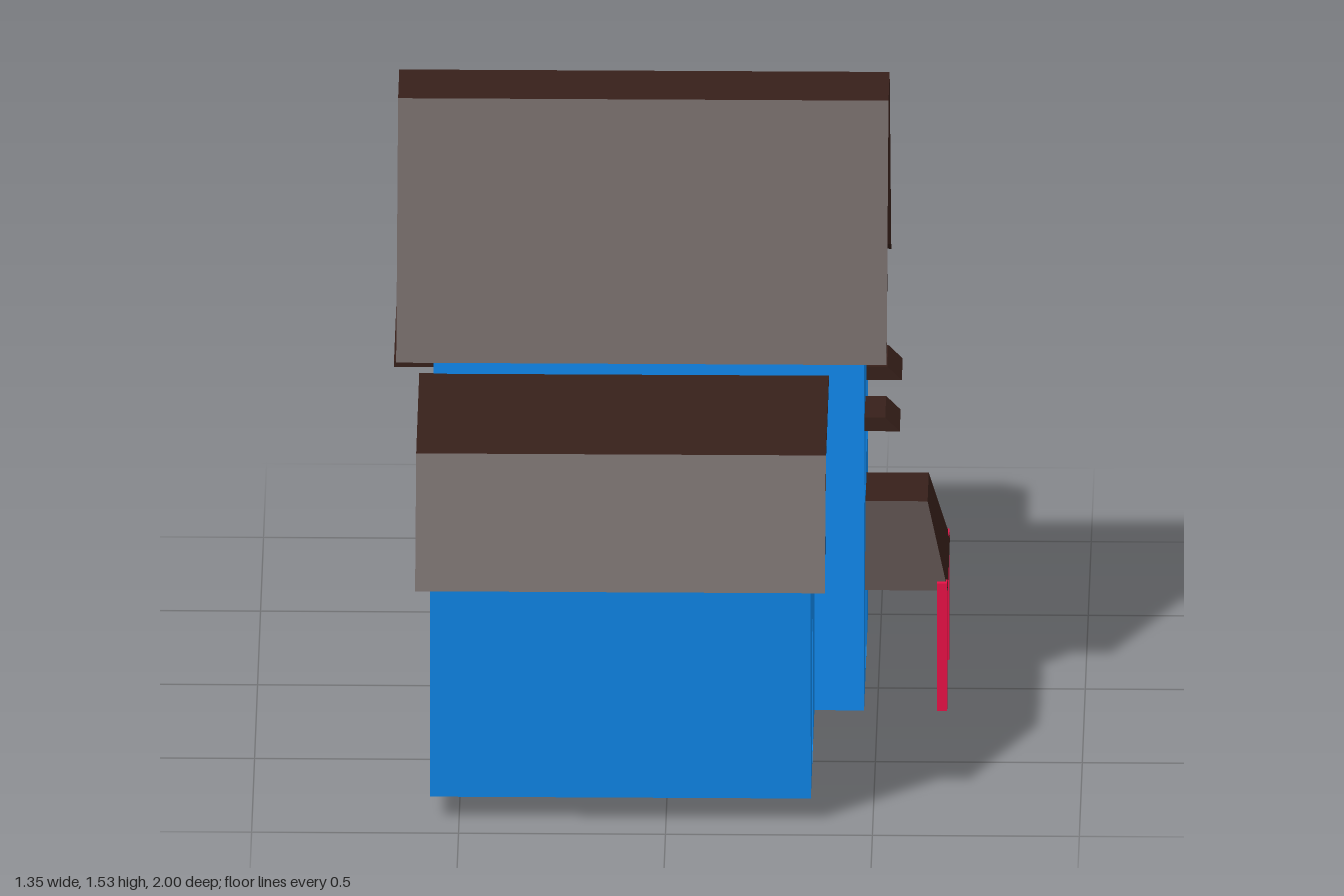
import * as THREE from 'three';

const mat = (color, side = THREE.FrontSide) =>
  new THREE.MeshStandardMaterial({ color, flatShading: true, side });

export function createModel() {
  const house = new THREE.Group();
  house.name = 'house';
  const blue = mat(0x0f89ee), brown = mat(0x37201a), red = mat(0xe81046), grey = mat(0xcccccc);
  const porchBrown = mat(0x37201a, THREE.DoubleSide);
  const LEFT = -0.57, RECESS = 0.035;

  const add = (name, geometry, material, parent = house) => {
    const mesh = new THREE.Mesh(geometry, material);
    mesh.name = name;
    parent.add(mesh);
    return mesh;
  };
  const points = (list) => list.map(([z, y]) => new THREE.Vector2(z, y));

  // Extrude a (z, y) outline along x, from x0 to x1
  const slab = (outline, x0, x1, holes = []) => {
    const shape = new THREE.Shape(points(outline));
    holes.forEach((h) => shape.holes.push(new THREE.Path(points(h))));
    const g = new THREE.ExtrudeGeometry(shape, { depth: x1 - x0, bevelEnabled: false });
    return g.rotateY(-Math.PI / 2).translate(x1, 0, 0);
  };
  const rect = (z0, z1, y0, y1) => [[z0, y0], [z1, y0], [z1, y1], [z0, y1]];
  const ring = (z, y, r, n) => Array.from({ length: n }, (_, i) => {
    const a = ((i + 0.3) / n) * Math.PI * 2;
    return [z + r * Math.cos(a), y + r * Math.sin(a)];
  });

  // Wall block with recessed panes on both side walls
  const block = (name, outline, right, openings) => {
    const group = new THREE.Group();
    group.name = name;
    house.add(group);
    add(name + 'Walls', slab(outline, LEFT, right, openings.map((o) => o.outline)), blue, group);
    for (const o of openings) {
      add(o.name, slab(o.outline, right - RECESS - 0.01, right - RECESS), o.right ?? grey, group);
      add(o.name + 'Far', slab(o.outline, LEFT + RECESS, LEFT + RECESS + 0.01), o.left ?? grey, group);
    }
  };

  block('frontWing',
    [[0.91, 0.06], [0.965, 0.63], [0.80, 0.892], [0.31, 0.908], [0.31, 0.06]], 0.35, [
      { name: 'window', outline: rect(0.695, 0.837, 0.562, 0.728) },
      { name: 'window', outline: rect(0.42, 0.565, 0.572, 0.743) },
      { name: 'sideDoor', outline: [[0.55, 0.063], [0.73, 0.063], [0.745, 0.402], [0.55, 0.402]] },
    ]);

  block('mainBlock',
    [[0.31, 0.06], [0.31, 1.0], [0.02, 1.5], [-0.15, 1.5], [-0.385, 1.0], [-0.385, 0.06]], 0.47, [
      { name: 'window', outline: rect(0.08, 0.228, 0.555, 0.76) },
      { name: 'window', outline: rect(-0.27, -0.12, 0.56, 0.76) },
      { name: 'roundWindow', outline: ring(-0.037, 1.045, 0.09, 9) },
      { name: 'roundWindow', outline: ring(-0.05, 1.29, 0.082, 9) },
      { name: 'frontDoor', outline: rect(-0.115, 0.05, 0.063, 0.37), right: red, left: blue },
    ]);

  block('backWing',
    [[-0.385, 0.06], [-0.385, 0.702], [-0.865, 0.695], [-0.942, 0.615], [-0.942, 0.06]], 0.35, [
      { name: 'wideWindow', outline: [[-0.86, 0.365], [-0.487, 0.375], [-0.487, 0.51], [-0.86, 0.51]] },
      { name: 'garageDoor', outline: rect(-0.865, -0.48, 0.063, 0.272), right: brown, left: blue },
    ]);

  // Roofs: thin folded strips running the whole width
  add('mainRoof', slab([[0.355, 0.97], [0.03, 1.53], [-0.165, 1.53], [-0.435, 0.97],
    [-0.387, 1.0], [-0.15, 1.5], [0.02, 1.5], [0.312, 1.0]], -0.66, 0.525), brown);
  add('frontRoof', slab([[1, 0.625], [0.815, 0.911], [0.305, 0.925],
    [0.305, 0.908], [0.80, 0.892], [0.965, 0.63]], -0.605, 0.385), brown);
  add('backRoof', slab([[-0.32, 0.717], [-0.908, 0.71], [-1, 0.61],
    [-0.943, 0.615], [-0.865, 0.695], [-0.32, 0.702]], -0.675, 0.45), brown);

  // Small window awnings with a sloped front edge
  for (const z of [0.152, -0.195]) {
    const s = new THREE.Shape(points([[0.46, 0.75], [0.555, 0.75], [0.52, 0.785], [0.46, 0.785]]));
    const g = new THREE.ExtrudeGeometry(s, { depth: 0.148, bevelEnabled: false });
    add('awning', g.translate(0, 0, z - 0.074), brown);
  }

  // Porch: hollow hipped roof, open below, on two posts
  const top = [[0.47, 0.51, 0.07], [0.62, 0.51, 0.07], [0.62, 0.51, -0.125], [0.47, 0.51, -0.125]];
  const low = [[0.47, 0.31, 0.15], [0.67, 0.31, 0.15], [0.67, 0.31, -0.22], [0.47, 0.31, -0.22]];
  const tris = [];
  const quad = (a, b, c, d) => tris.push(...a, ...b, ...c, ...a, ...c, ...d);
  for (let i = 0; i < 3; i++) quad(low[i], low[i + 1], top[i + 1], top[i]);
  quad(...top);
  const porch = new THREE.BufferGeometry();
  porch.setAttribute('position', new THREE.Float32BufferAttribute(tris, 3));
  porch.computeVertexNormals();
  add('porchRoof', porch, porchBrown);
  for (const z of [0.141, -0.205]) {
    add('porchPost', new THREE.BoxGeometry(0.025, 0.33, 0.028).translate(0.656, 0.165, z), red);
  }

  return house;
}
